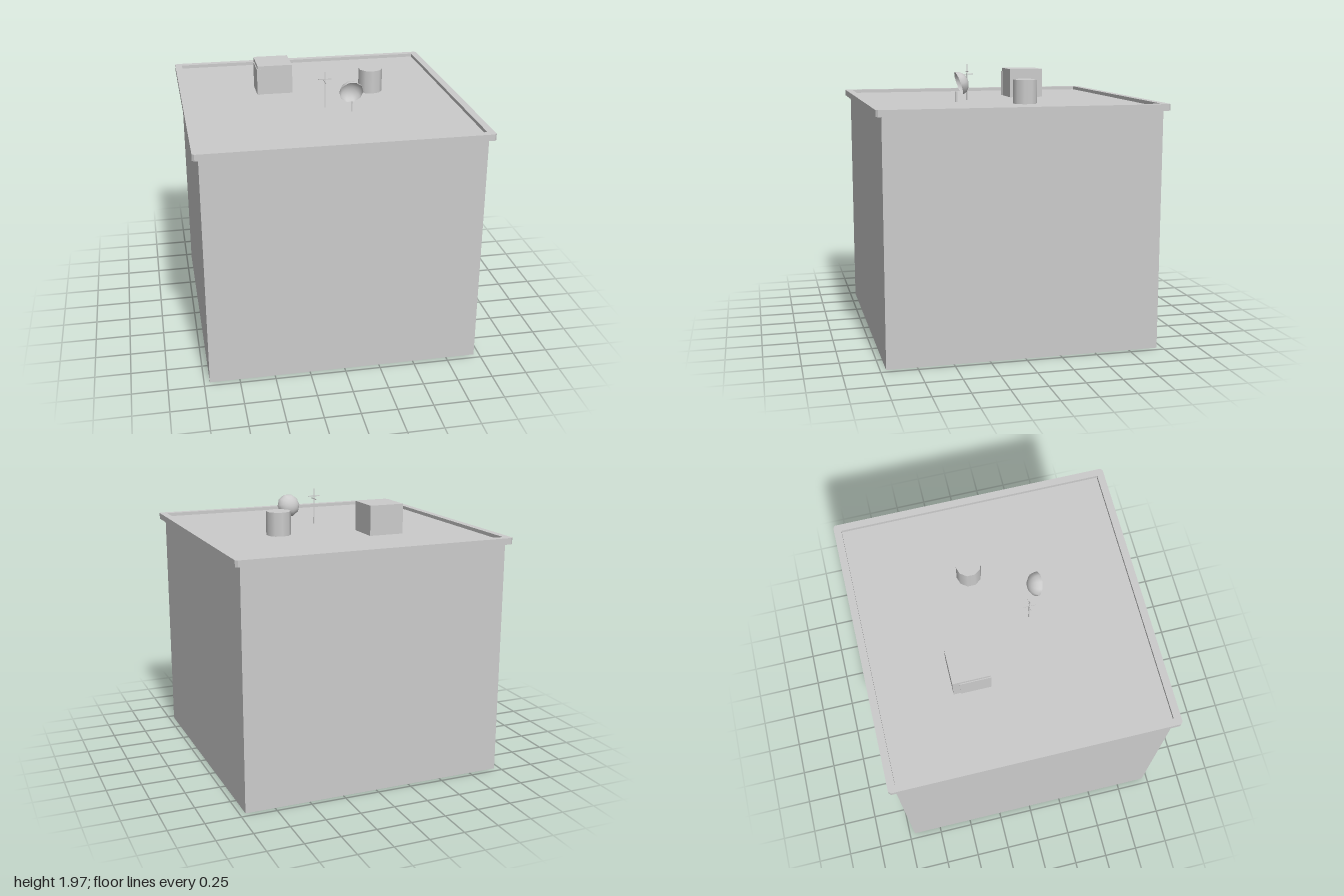
import * as THREE from 'three';

export function createModel() {
  const group = new THREE.Group();
  const grey = new THREE.MeshStandardMaterial({ color: 0xcccccc });
  const greyDouble = new THREE.MeshStandardMaterial({ color: 0xcccccc, side: THREE.DoubleSide });

  const add = (name, geometry, x, y, z, parent = group, material = grey) => {
    const mesh = new THREE.Mesh(geometry, material);
    mesh.name = name;
    mesh.position.set(x, y, z);
    parent.add(mesh);
    return mesh;
  };
  const box = (name, w, h, d, x, y, z, parent) =>
    add(name, new THREE.BoxGeometry(w, h, d), x, y, z, parent);

  const roofY = 1.7;

  // Building block, its top is the sunken roof
  box('building', 1.92, roofY, 1.92, 0, roofY / 2, 0);

  // Overhanging parapet with clipped corners and a square opening
  const o = 1, c = 0.985, i = 0.948;
  const outline = new THREE.Shape([
    [-c, -o], [c, -o], [o, -c], [o, c], [c, o], [-c, o], [-o, c], [-o, -c],
  ].map(([x, y]) => new THREE.Vector2(x, y)));
  outline.holes.push(new THREE.Path([
    [-i, -i], [-i, i], [i, i], [i, -i],
  ].map(([x, y]) => new THREE.Vector2(x, y))));
  const rim = new THREE.ExtrudeGeometry(outline, { depth: 0.045, bevelEnabled: false });
  rim.rotateX(-Math.PI / 2);
  add('parapet', rim, 0, 1.68, 0);

  // Stair housing with a door panel near its front left corner
  const housing = new THREE.Group();
  housing.name = 'stairHousing';
  group.add(housing);
  box('housingBlock', 0.256, 0.215, 0.256, -0.303, roofY + 0.1075, -0.31, housing);
  box('housingDoor', 0.027, 0.19, 0.214, -0.4235, roofY + 0.095, -0.283, housing);

  // Ten-sided water tank
  add('waterTank', new THREE.CylinderGeometry(0.088, 0.088, 0.17, 10), 0.406, roofY + 0.085, -0.139);

  // Mast antenna with two crossed arms
  const antenna = new THREE.Group();
  antenna.name = 'antenna';
  antenna.position.set(0, 0, 0.193);
  group.add(antenna);
  box('mast', 0.007, 0.265, 0.007, 0, roofY + 0.1325, 0, antenna);
  box('sideArm', 0.09, 0.006, 0.006, 0, 1.91, 0, antenna);
  box('depthArm', 0.006, 0.006, 0.09, 0, 1.89, 0, antenna);

  // Open dish on a short post, tipped slightly down
  const dish = new THREE.Group();
  dish.name = 'satelliteDish';
  group.add(dish);
  const bowl = new THREE.SphereGeometry(0.086, 10, 6, 0, Math.PI * 2, 0, Math.PI / 2);
  bowl.scale(1, 0.82, 1);
  add('dishBowl', bowl, 0.17, 1.834, 0.293, dish, greyDouble).rotation.x = -1.235;
  box('dishPost', 0.011, 0.075, 0.011, 0.17, roofY + 0.0375, 0.31, dish);

  return group;
}
